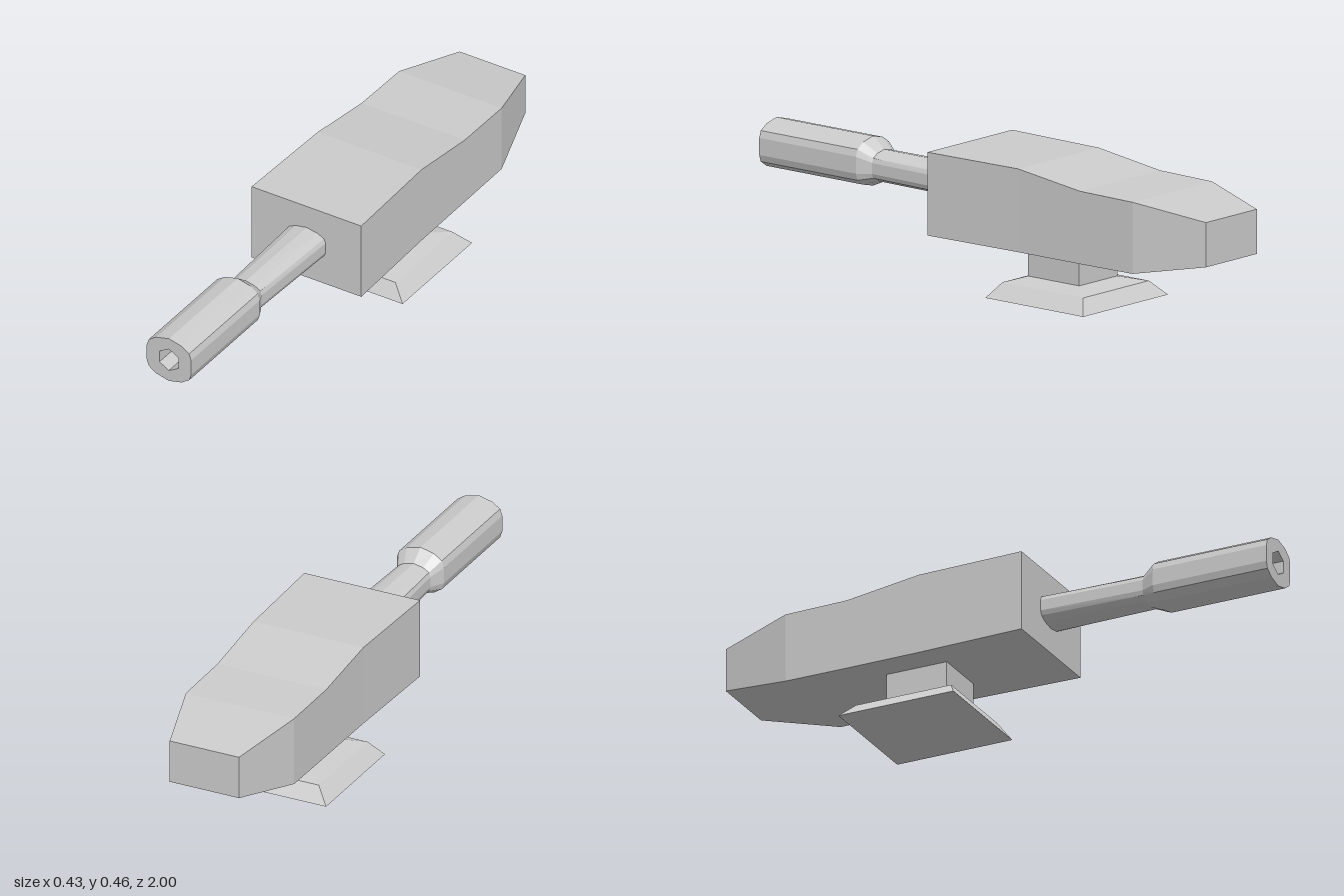
import * as THREE from 'three';

const material = new THREE.MeshStandardMaterial({ color: 0xcccccc, flatShading: true });

// Skin a list of equal-length rings (counter-clockwise about the direction of travel) and cap both ends
function loft(rings) {
  const pos = [];
  const tri = (...points) => points.forEach((p) => pos.push(...p));
  for (let i = 0; i < rings.length - 1; i++) {
    const a = rings[i], b = rings[i + 1], n = a.length;
    for (let j = 0; j < n; j++) {
      const k = (j + 1) % n;
      tri(a[j], a[k], b[k]);
      tri(a[j], b[k], b[j]);
    }
  }
  const first = rings[0], last = rings[rings.length - 1];
  for (let j = 1; j < first.length - 1; j++) {
    tri(first[0], first[j + 1], first[j]);
    tri(last[0], last[j], last[j + 1]);
  }
  const geometry = new THREE.BufferGeometry();
  geometry.setAttribute('position', new THREE.Float32BufferAttribute(pos, 3));
  geometry.computeVertexNormals();
  return geometry;
}

// Rectangle facing along z, and rectangle lying flat
const uprightRect = (z, w, y0, y1) => [[w, y0, z], [w, y1, z], [-w, y1, z], [-w, y0, z]];
const flatRect = (y, w, z0, z1) => [[w, y, z1], [w, y, z0], [-w, y, z0], [-w, y, z1]];

// Fourteen-sided barrel outline, right half mirrored to the left
const half = [[0, -0.085], [0.05, -0.073], [0.08, -0.053], [0.088, -0.029],
  [0.088, 0.029], [0.08, 0.053], [0.05, 0.073], [0, 0.085]];
const outline = [...half, ...half.slice(1, -1).reverse().map(([x, y]) => [-x, y])];
const barrelRing = (z, rx, ry, cy) =>
  outline.map(([x, y]) => [x / 0.088 * rx, cy + y / 0.085 * ry, z]);

export function createModel() {
  const model = new THREE.Group();
  const add = (name, geometry) => {
    const mesh = new THREE.Mesh(geometry, material);
    mesh.name = name;
    model.add(mesh);
    return mesh;
  };

  // Housing, tapering to the rear
  add('housing', loft([
    uprightRect(-1, 0.13, 0.225, 0.378),
    uprightRect(-0.74, 0.203, 0.176, 0.421),
    uprightRect(-0.51, 0.204, 0.175, 0.424),
    uprightRect(-0.24, 0.206, 0.175, 0.46),
    uprightRect(0.15, 0.217, 0.175, 0.46),
  ]));

  // Mount: flared foot and post
  add('mountFoot', loft([
    flatRect(0, 0.217, -0.535, -0.105),
    flatRect(0.05, 0.168, -0.493, -0.138),
    flatRect(0.067, 0.098, -0.415, -0.19),
  ]));
  const post = add('mountPost', new THREE.BoxGeometry(0.196, 0.12, 0.225));
  post.position.set(0, 0.122, -0.3025);

  // Slim barrel neck widening into the muzzle
  add('barrelNeck', loft([
    barrelRing(0.13, 0.077, 0.055, 0.32),
    barrelRing(0.525, 0.063, 0.055, 0.32),
    barrelRing(0.575, 0.088, 0.085, 0.328),
  ]));

  // Muzzle sleeve with a hexagonal bore
  const sleeve = new THREE.Shape(outline.map(([x, y]) => new THREE.Vector2(x, y)));
  const bore = [];
  for (let i = 0; i < 6; i++) {
    const a = Math.PI / 2 - i * Math.PI / 3;
    bore.push(new THREE.Vector2(0.043 * Math.cos(a), 0.043 * Math.sin(a)));
  }
  sleeve.holes.push(new THREE.Path(bore));
  const muzzle = add('muzzle', new THREE.ExtrudeGeometry(sleeve, { depth: 0.425, bevelEnabled: false }));
  muzzle.position.set(0, 0.328, 0.575);

  return model;
}
